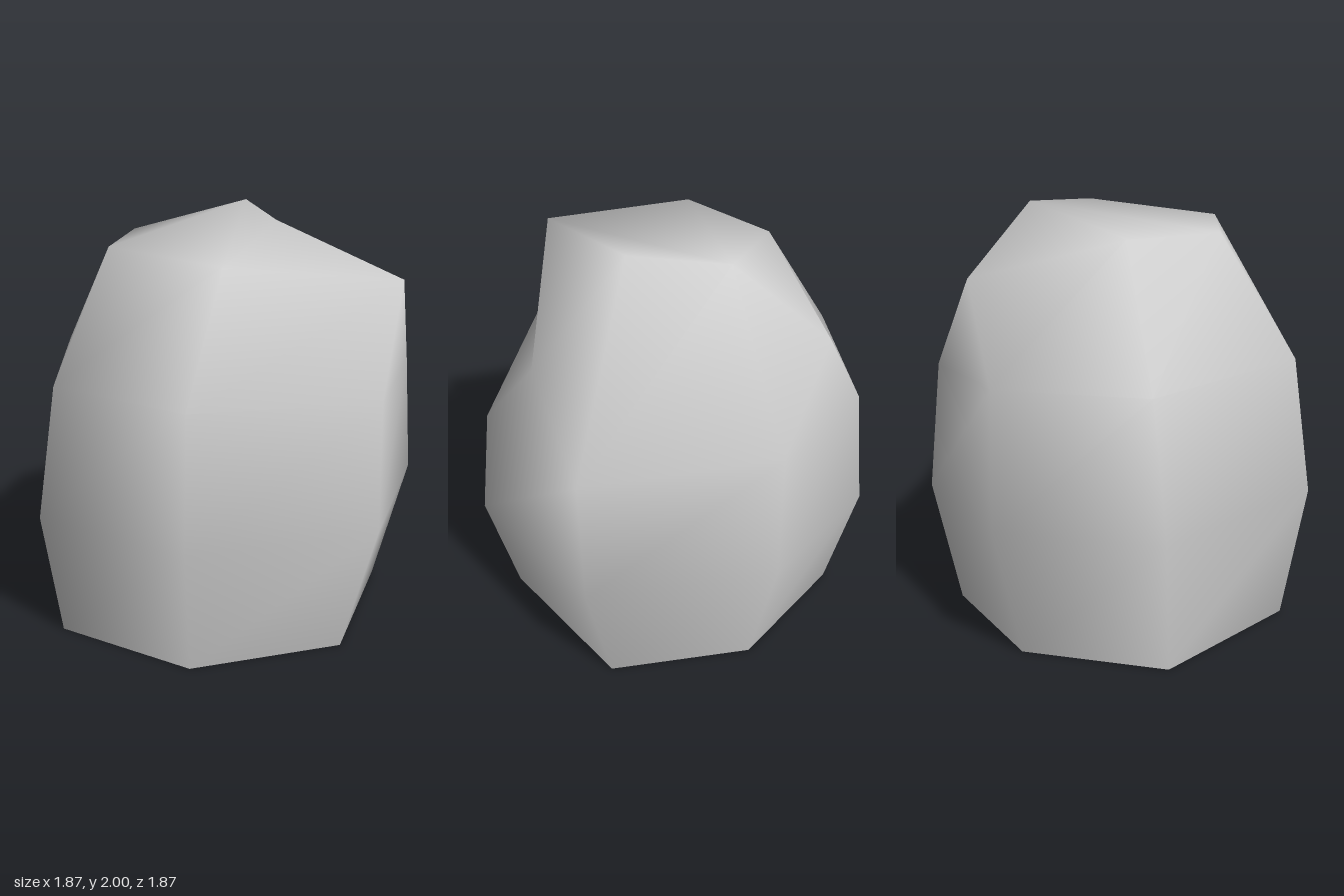
import * as THREE from 'three';

export function createModel() {
  const group = new THREE.Group();
  group.name = 'boulder';
  const stone = new THREE.MeshStandardMaterial({ color: 0xcccccc, side: THREE.DoubleSide });
  stone.name = 'stone grey';

  // seven-sided cross-sections, from the open foot up to the uneven crown
  const rings = [
    [[-0.33, 0, -0.78], [0.36, 0, -0.82], [0.80, 0, -0.15], [0.52, 0, 0.55],
      [-0.16, 0, 0.82], [-0.84, 0, 0.38], [-0.82, 0, -0.31]],
    [[-0.42, 0.63, -0.88], [0.47, 0.64, -0.94], [0.93, 0.62, -0.24], [0.61, 0.64, 0.64],
      [-0.14, 0.64, 0.93], [-0.935, 0.64, 0.38], [-0.93, 0.63, -0.40]],
    [[-0.43, 1.25, -0.81], [0.48, 1.23, -0.87], [0.86, 1.22, -0.30], [0.57, 1.28, 0.60],
      [-0.11, 1.28, 0.84], [-0.85, 1.26, 0.30], [-0.86, 1.26, -0.41]],
    [[-0.24, 2.00, -0.40], [0.20, 1.97, -0.22], [0.63, 1.70, -0.65], [0.52, 1.87, 0.36],
      [-0.17, 1.87, 0.48], [-0.50, 1.87, 0.11], [-0.65, 1.70, -0.57]],
  ];
  const n = rings[0].length;
  const top = rings.length - 1;
  const index = [];

  // walls between neighbouring rings
  for (let r = 0; r < top; r++) {
    for (let i = 0; i < n; i++) {
      const j = (i + 1) % n;
      const low = r * n, up = low + n;
      // the jutting back corner of the crown is split the other way
      if (r === top - 1 && i === 1) index.push(low + i, up + i, up + j, low + i, up + j, low + j);
      else index.push(low + i, up + i, low + j, up + i, up + j, low + j);
    }
  }
  // crown: one facet down to the jutting corner, the rest fanned from the peak
  for (const [a, b, c] of [[1, 3, 2], [0, 3, 1], [0, 4, 3], [0, 5, 4], [0, 6, 5]]) {
    index.push(top * n + a, top * n + b, top * n + c);
  }

  const geometry = new THREE.BufferGeometry();
  geometry.setAttribute('position', new THREE.Float32BufferAttribute(rings.flat(2), 3));
  geometry.setIndex(index);
  geometry.computeVertexNormals();

  const rock = new THREE.Mesh(geometry, stone);
  rock.name = 'rock';
  group.add(rock);
  return group;
}
